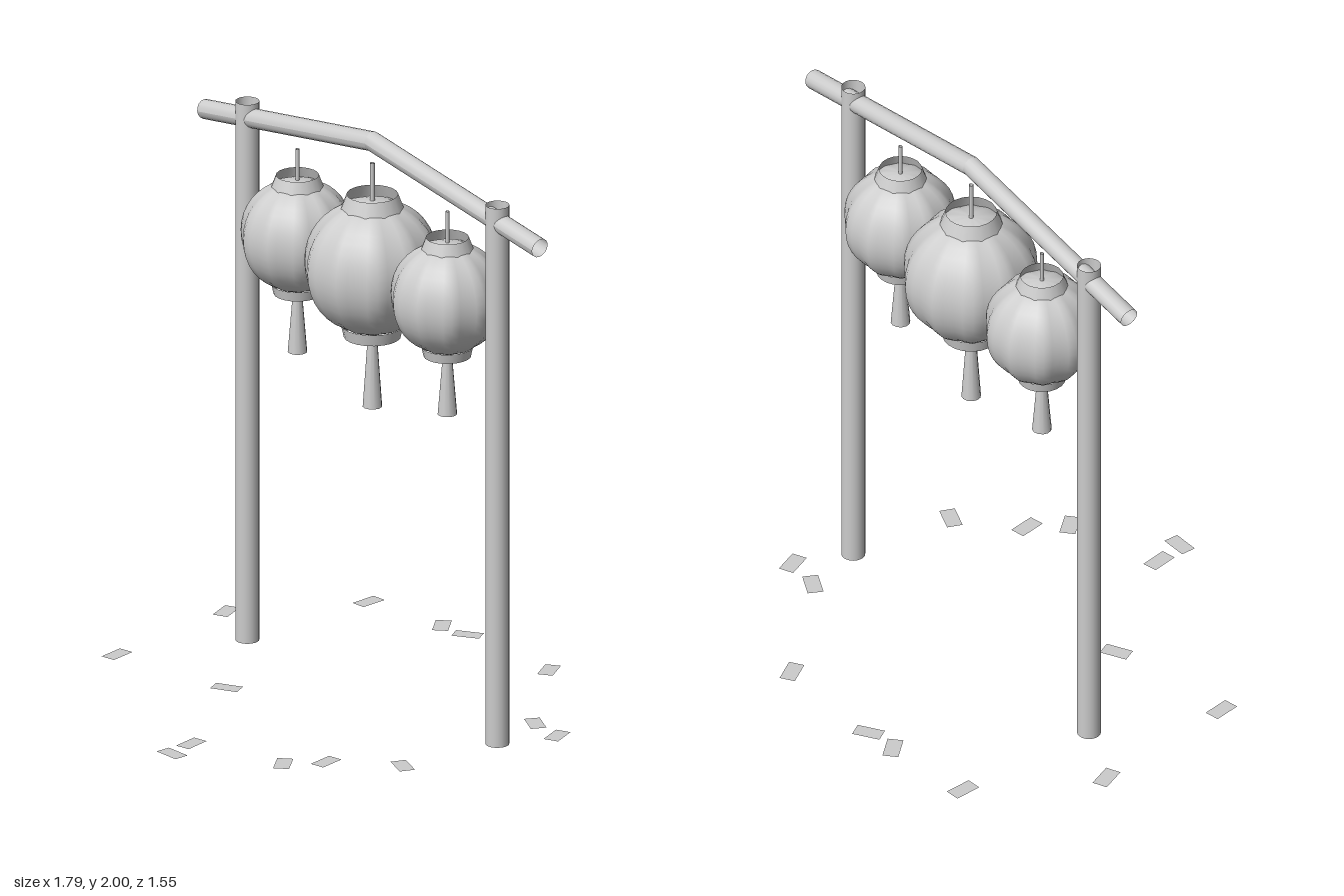
import * as THREE from 'three';

const paint = new THREE.MeshStandardMaterial({ color: 0xcccccc, side: THREE.DoubleSide });
paint.name = 'pale grey';

const MID_X = 0.025, FRAME_Z = -0.145;

function add(parent, name, geometry, x = 0, y = 0, z = 0) {
  const mesh = new THREE.Mesh(geometry, paint);
  mesh.name = name;
  mesh.position.set(x, y, z);
  parent.add(mesh);
  return mesh;
}

// Open tube between two heights
function tube(rTop, rBottom, yTop, yBottom, sides = 20) {
  return new THREE.CylinderGeometry(rTop, rBottom, yTop - yBottom, sides, 1, true)
    .translate(0, (yTop + yBottom) / 2, 0);
}

// Half of the bent crossbeam, mitred at the middle and square at its end
function halfBeam(side) {
  const length = 0.86, slope = 0.155;
  const g = new THREE.CylinderGeometry(0.034, 0.034, length, 16, 1, true);
  g.rotateZ(-side * Math.PI / 2).translate(side * length / 2, 0, 0);
  const p = g.attributes.position;
  for (let i = 0; i < p.count; i++) {
    const y = p.getY(i), outer = Math.abs(p.getX(i)) > length / 2;
    const x = outer ? p.getX(i) + side * slope * y : 0;
    p.setXY(i, x, y - slope * Math.abs(x));
  }
  g.computeVertexNormals();
  return g;
}

// Globe with ten vertical ribs
function ribbedGlobe(radius) {
  const g = new THREE.SphereGeometry(radius, 40, 20);
  const p = g.attributes.position, n = g.attributes.normal;
  const points = [];
  for (let i = 0; i < p.count; i++) {
    const x = p.getX(i), z = p.getZ(i);
    const k = 0.965 + 0.035 * Math.cos(10 * Math.atan2(z, x));
    p.setXYZ(i, x * k, p.getY(i), z * k);
    points.push(i);
  }
  g.computeVertexNormals();
  // Match the normals along the seam
  for (let row = 1; row < 20; row++) {
    const a = row * 41, b = a + 40;
    const v = new THREE.Vector3().fromBufferAttribute(n, a)
      .add(new THREE.Vector3().fromBufferAttribute(n, b)).normalize();
    n.setXYZ(a, v.x, v.y, v.z);
    n.setXYZ(b, v.x, v.y, v.z);
  }
  return g;
}

function lantern(x, scale) {
  const group = new THREE.Group();
  group.name = 'lantern';
  add(group, 'lanternBody', ribbedGlobe(0.234));
  add(group, 'topCollar', tube(0.086, 0.105, 0.256, 0.205));
  add(group, 'bottomCollar', tube(0.105, 0.096, -0.21, -0.252));
  add(group, 'cord', tube(0.008, 0.008, 0.367, 0.22, 8));
  add(group, 'tassel', tube(0.014 / scale, 0.033 / scale, -0.225, -0.502, 12));
  group.scale.setScalar(scale);
  group.position.set(x, 1.522, FRAME_Z);
  return group;
}

// Scattered paper slips: x, z, turn in degrees
const SLIPS = [
  [-0.62, -0.68, 87], [-0.29, -0.72, 48], [-0.17, -0.73, -32], [0.26, -0.72, 57],
  [-0.86, -0.26, 66], [0.61, -0.36, 27], [0.745, -0.34, 66], [-0.79, 0.28, 80],
  [-0.315, 0.205, -27], [0.625, 0.235, 22], [0.43, 0.405, 80], [0.35, 0.525, 49],
  [0.007, 0.635, 79], [0.037, 0.745, 0],
];

export function createModel() {
  const model = new THREE.Group();
  model.name = 'lanternArch';

  // Posts and bent crossbeam
  for (const side of [-1, 1]) {
    add(model, side > 0 ? 'leftPost' : 'rightPost', tube(0.04, 0.04, 1.925, 0),
      MID_X + side * 0.642, 0, FRAME_Z);
    add(model, side > 0 ? 'leftBeam' : 'rightBeam', halfBeam(side), MID_X, 1.966, FRAME_Z);
  }

  // Large middle lantern between two smaller ones
  model.add(lantern(MID_X - 0.385, 0.833), lantern(MID_X, 1), lantern(MID_X + 0.385, 0.833));

  // Paper slips on the ground
  const slip = new THREE.PlaneGeometry(0.097, 0.054).rotateX(-Math.PI / 2);
  for (const [x, z, turn] of SLIPS) {
    add(model, 'paperSlip', slip, x, 0.003, z).rotation.y = -THREE.MathUtils.degToRad(turn);
  }
  return model;
}
